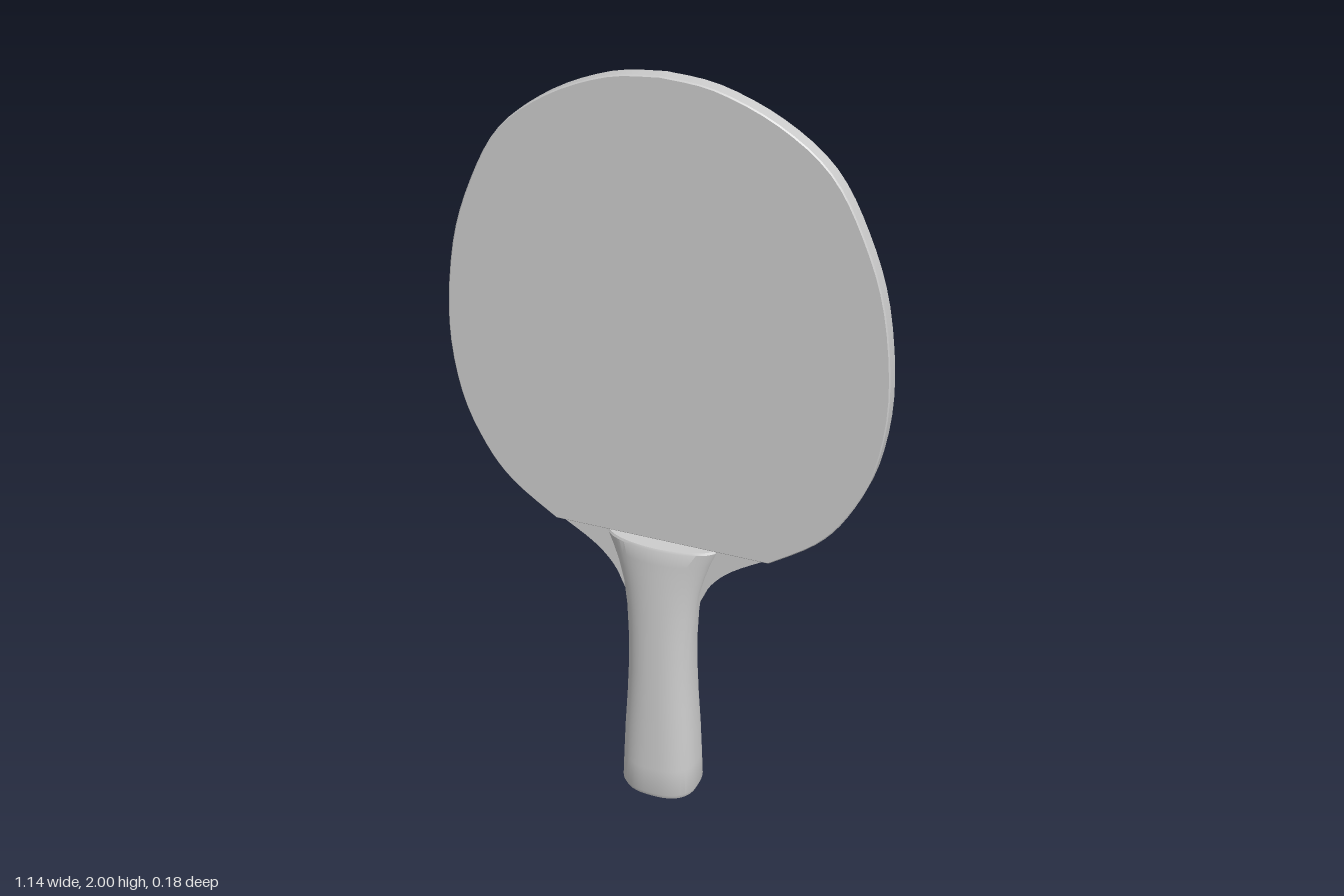
import * as THREE from 'three';
import { toCreasedNormals } from 'three/addons/utils/BufferGeometryUtils.js';

const grey = new THREE.MeshStandardMaterial({ color: 0xcccccc });
grey.name = 'plain grey';

const CREASE = 0.5;
const vectors = (points) => points.map(([x, y]) => new THREE.Vector2(x, y));

// Closed shape from a right-hand curve, mirrored to the left
function mirroredShape(points, samples) {
  const right = new THREE.SplineCurve(vectors(points)).getPoints(samples);
  const left = right.filter((p) => p.x > 0.001)
    .map((p) => new THREE.Vector2(-p.x, p.y)).reverse();
  return new THREE.Shape([...right, ...left]);
}

// Flat plate centred on z = 0 with slightly softened rims
function plate(name, shape, thickness, bevel) {
  const geometry = new THREE.ExtrudeGeometry(shape, {
    depth: thickness - 2 * bevel,
    bevelEnabled: bevel > 0,
    bevelThickness: bevel,
    bevelSize: bevel,
    bevelOffset: -bevel,
    bevelSegments: 1,
  });
  geometry.translate(0, 0, -thickness / 2 + bevel);
  const mesh = new THREE.Mesh(toCreasedNormals(geometry, CREASE), grey);
  mesh.name = name;
  return mesh;
}

// Loft through rounded sections: [y, half width, half depth, roundness exponent]
function loft(name, sections, sides) {
  const position = [];
  const index = [];
  sections.forEach(([y, rx, rz, n], i) => {
    for (let j = 0; j < sides; j++) {
      const a = (j / sides) * Math.PI * 2;
      const power = (v) => Math.sign(v) * Math.abs(v) ** (2 / n);
      position.push(rx * power(Math.cos(a)), y, rz * power(Math.sin(a)));
      if (i === sections.length - 1) continue;
      const p = i * sides + j;
      const q = i * sides + ((j + 1) % sides);
      index.push(p, p + sides, q, q, p + sides, q + sides);
    }
  });
  const geometry = new THREE.BufferGeometry();
  geometry.setAttribute('position', new THREE.Float32BufferAttribute(position, 3));
  geometry.setIndex(index);
  const mesh = new THREE.Mesh(toCreasedNormals(geometry, CREASE), grey);
  mesh.name = name;
  return mesh;
}

export function createModel() {
  const model = new THREE.Group();
  model.name = 'tableTennisBat';

  // Round blade, cut straight above the handle
  const blade = mirroredShape([
    [0.29, 0.79], [0.41, 0.875], [0.485, 0.97], [0.545, 1.11], [0.569, 1.3],
    [0.545, 1.52], [0.487, 1.69], [0.405, 1.83], [0.28, 1.925], [0.13, 1.985], [0, 2],
  ], 40);
  model.add(plate('blade', blade, 0.044, 0.003));

  // Thin core flaring from the handle into the blade
  const neck = mirroredShape([
    [0.085, 0.58], [0.105, 0.62], [0.135, 0.68], [0.19, 0.735], [0.288, 0.795],
  ], 16);
  model.add(plate('neck', neck, 0.02, 0));

  // Flared handle: broad rounded foot, slim waist, wide thin top
  model.add(loft('handle', [
    [0, 0, 0, 2.5],
    [0, 0.092, 0.077, 2.5],
    [0.006, 0.101, 0.086, 2.5],
    [0.02, 0.107, 0.092, 2.5],
    [0.1, 0.104, 0.089, 2.5],
    [0.2, 0.1, 0.085, 2.45],
    [0.3, 0.094, 0.081, 2.4],
    [0.4, 0.09, 0.077, 2.35],
    [0.5, 0.091, 0.073, 2.3],
    [0.58, 0.096, 0.069, 2.2],
    [0.65, 0.106, 0.066, 2.1],
    [0.7, 0.12, 0.063, 2],
    [0.74, 0.134, 0.061, 1.95],
    [0.78, 0.151, 0.059, 1.9],
    [0.786, 0.147, 0.056, 1.9],
    [0.786, 0, 0, 1.9],
  ], 48));

  return model;
}
